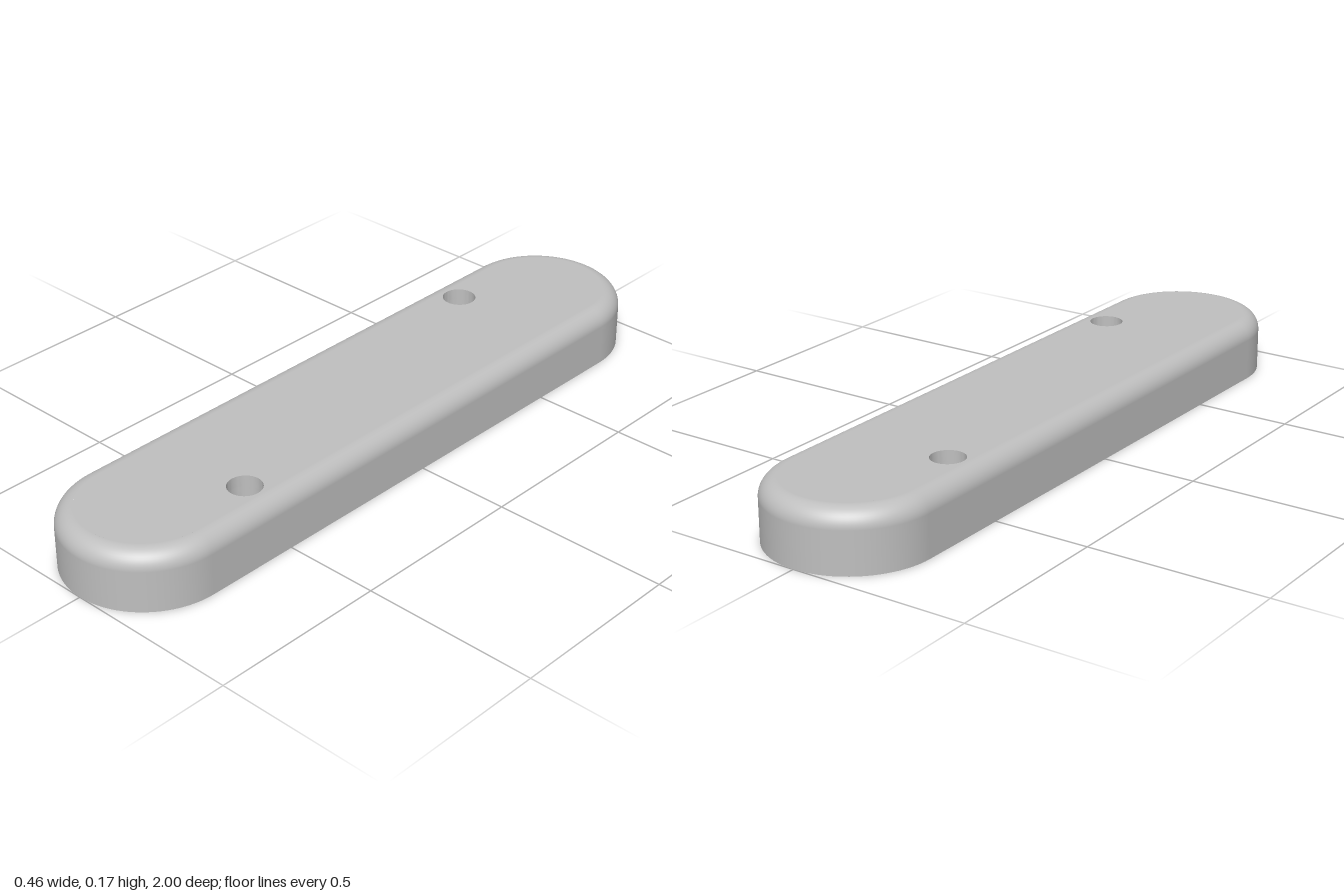
import * as THREE from 'three';
import { toCreasedNormals } from 'three/addons/utils/BufferGeometryUtils.js';

const END = 0.77, R = 0.23, H = 0.167, WALL = 0.04, CEIL = 0.135;
const HOLE = [0.127, 0.557], BORE = 0.047, SCREW = 0.022;
const ARC = 40;

// Sweeps a profile of [radius, y, normalOut, normalUp] round a stadium outline.
function sweep(profile) {
  const pos = [], nor = [], idx = [];
  const outline = [];
  for (const side of [0, 1]) {
    for (let i = 0; i <= ARC; i++) {
      outline.push([Math.PI * (side + i / ARC), side ? -END : END]);
    }
  }
  outline.push([Math.PI * 2, END]);
  for (const [a, z0] of outline) {
    for (const [r, y, n, up] of profile) {
      pos.push(r * Math.cos(a), y, z0 + r * Math.sin(a));
      nor.push(n * Math.cos(a), up, n * Math.sin(a));
    }
  }
  const m = profile.length;
  for (let i = 0; i < outline.length - 1; i++) {
    for (let j = 0; j < m - 1; j++) {
      const a = i * m + j, b = a + m;
      idx.push(a, a + 1, b, a + 1, b + 1, b);
    }
  }
  const g = new THREE.BufferGeometry();
  g.setAttribute('position', new THREE.Float32BufferAttribute(pos, 3));
  g.setAttribute('normal', new THREE.Float32BufferAttribute(nor, 3));
  g.setIndex(idx);
  return g;
}

// Quarter-round profile turning from the wall to the flat face above it.
function quarter(r, y, radius) {
  return Array.from({ length: 13 }, (_, i) => {
    const a = (i / 12) * Math.PI / 2, c = Math.cos(a), s = Math.sin(a);
    return [r - radius + radius * c, y - radius + radius * s, c, s];
  });
}

// Extrudes a plan shape (x, z) downward from top to bottom.
function slab(shape, top, bottom) {
  const g = new THREE.ExtrudeGeometry(shape, { depth: top - bottom, bevelEnabled: false, curveSegments: 24 });
  g.rotateX(Math.PI / 2).translate(0, top, 0);
  return toCreasedNormals(g, 0.6);
}

function addHole(shape, x, z, r) {
  shape.holes.push(new THREE.Path().absarc(x, z, r, 0, Math.PI * 2, true));
  return shape;
}

// Block growing inward from the -x wall, with its two inner corners rounded.
function wallBlock(x0, x1, z0, z1, r) {
  const s = new THREE.Shape();
  s.moveTo(x0, z0);
  s.lineTo(x1 - r, z0);
  s.absarc(x1 - r, z0 + r, r, -Math.PI / 2, 0, false);
  s.lineTo(x1, z1 - r);
  s.absarc(x1 - r, z1 - r, r, 0, Math.PI / 2, false);
  s.lineTo(x0, z1);
  s.closePath();
  return s;
}

export function createModel() {
  const model = new THREE.Group();
  model.name = 'cover';
  const grey = new THREE.MeshStandardMaterial({ color: 0xbfbfbf });
  grey.name = 'light grey';
  const add = (name, geometry, parent = model) => {
    const mesh = new THREE.Mesh(geometry, grey);
    mesh.name = name;
    parent.add(mesh);
  };

  // Outer wall with rounded top edge, inner wall, and bottom rim
  const inner = R - WALL;
  add('outerWall', sweep([[R, 0, 1, 0], ...quarter(R, H, 0.05)]));
  const lining = [[inner, 0, 1, 0], ...quarter(inner, CEIL, 0.015)];
  add('innerWall', sweep(lining.reverse().map(([r, y, n, up]) => [r, y, -n, -up])));
  add('bottomRim', sweep([[inner, 0, 0, -1], [R, 0, 0, -1]]));

  // Top plate with the two screw recesses
  const plate = new THREE.Shape();
  plate.absarc(0, END, R - 0.05, 0, Math.PI, false);
  plate.absarc(0, -END, R - 0.05, Math.PI, Math.PI * 2, false);
  plate.closePath();
  for (const s of [-1, 1]) addHole(plate, s * HOLE[0], s * HOLE[1], BORE);
  add('topPlate', slab(plate, H, CEIL));

  // Screw boss and locating tab, repeated by a half turn
  const [hx, hz] = HOLE;
  for (const side of [0, 1]) {
    const fittings = new THREE.Group();
    fittings.name = side ? 'leftFittings' : 'rightFittings';
    fittings.rotation.y = side * Math.PI;
    const boss = () => wallBlock(-0.21, -hx + 0.06, -hz - 0.06, -hz + 0.06, 0.03);
    add('bossSleeve', slab(addHole(boss(), -hx, -hz, BORE), CEIL, 0.08), fittings);
    add('bossSeat', slab(addHole(boss(), -hx, -hz, SCREW), 0.08, 0.05), fittings);
    add('wallTab', slab(wallBlock(-0.21, -0.157, 0.46, 0.575, 0.032), CEIL, 0.04), fittings);
    model.add(fittings);
  }
  return model;
}
